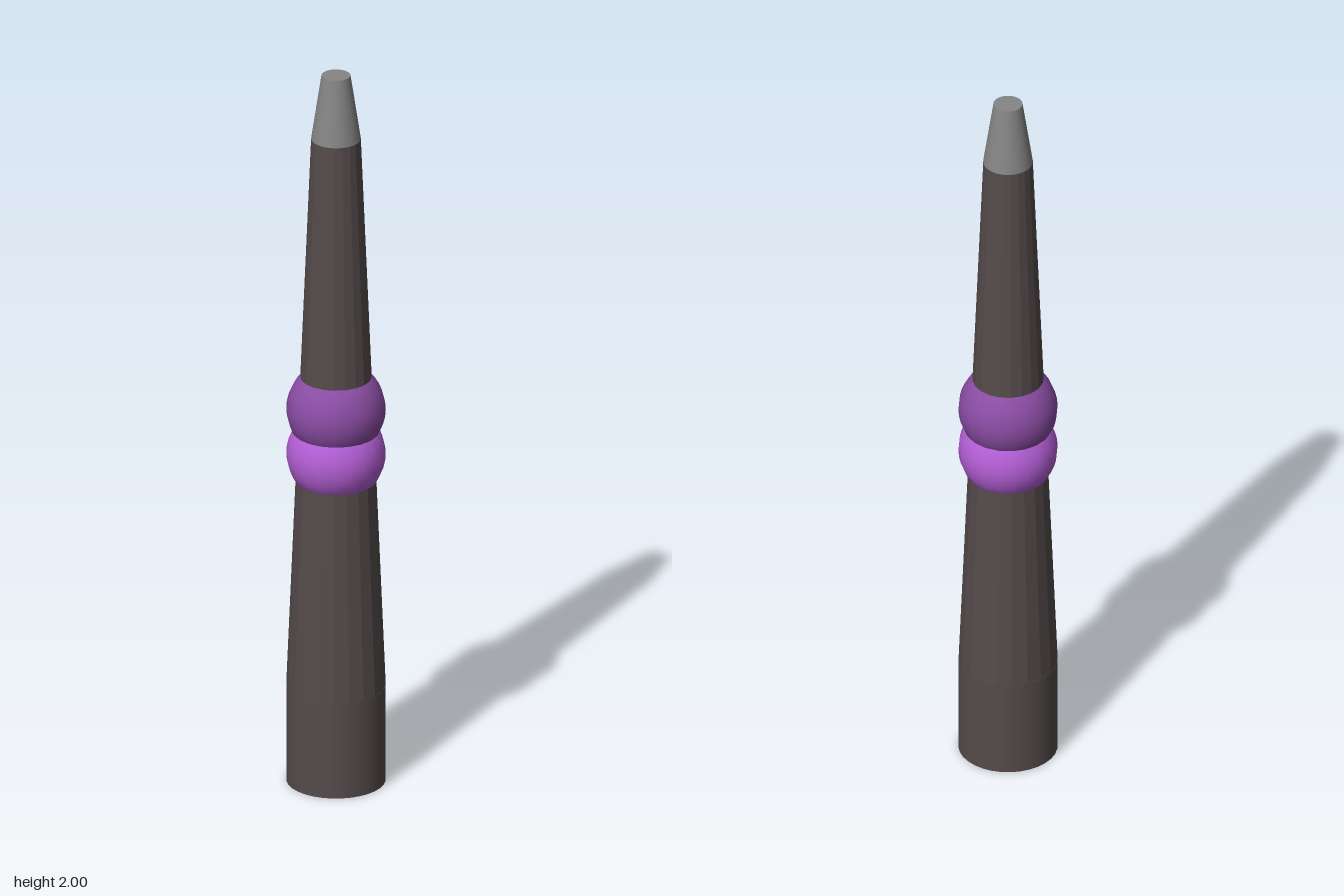
import * as THREE from 'three';

export function createModel() {
  const group = new THREE.Group();

  const add = (name, geometry, color, y, flatShading = false) => {
    const mesh = new THREE.Mesh(geometry, new THREE.MeshStandardMaterial({ color, flatShading }));
    mesh.name = name;
    mesh.position.y = y;
    group.add(mesh);
  };

  // Tapered truncated cone standing between two heights
  const section = (name, bottomR, topR, y0, y1, sides, color, flat) =>
    add(name, new THREE.CylinderGeometry(topR, bottomR, y1 - y0, sides), color, (y0 + y1) / 2, flat);

  const wood = 0x554b4b;
  section('base', 0.13, 0.13, 0, 0.27, 32, wood, false);
  section('shaft', 0.13, 0.065, 0.27, 1.82, 20, wood, true);
  section('tip', 0.065, 0.038, 1.82, 2, 32, 0x858585, false);

  // Two overlapping beads round the middle of the shaft
  const bead = new THREE.SphereGeometry(0.13, 20, 20);
  add('lowerBead', bead, 0xb45fd6, 0.927);
  add('upperBead', bead, 0x8a4ca3, 1.053);

  return group;
}
